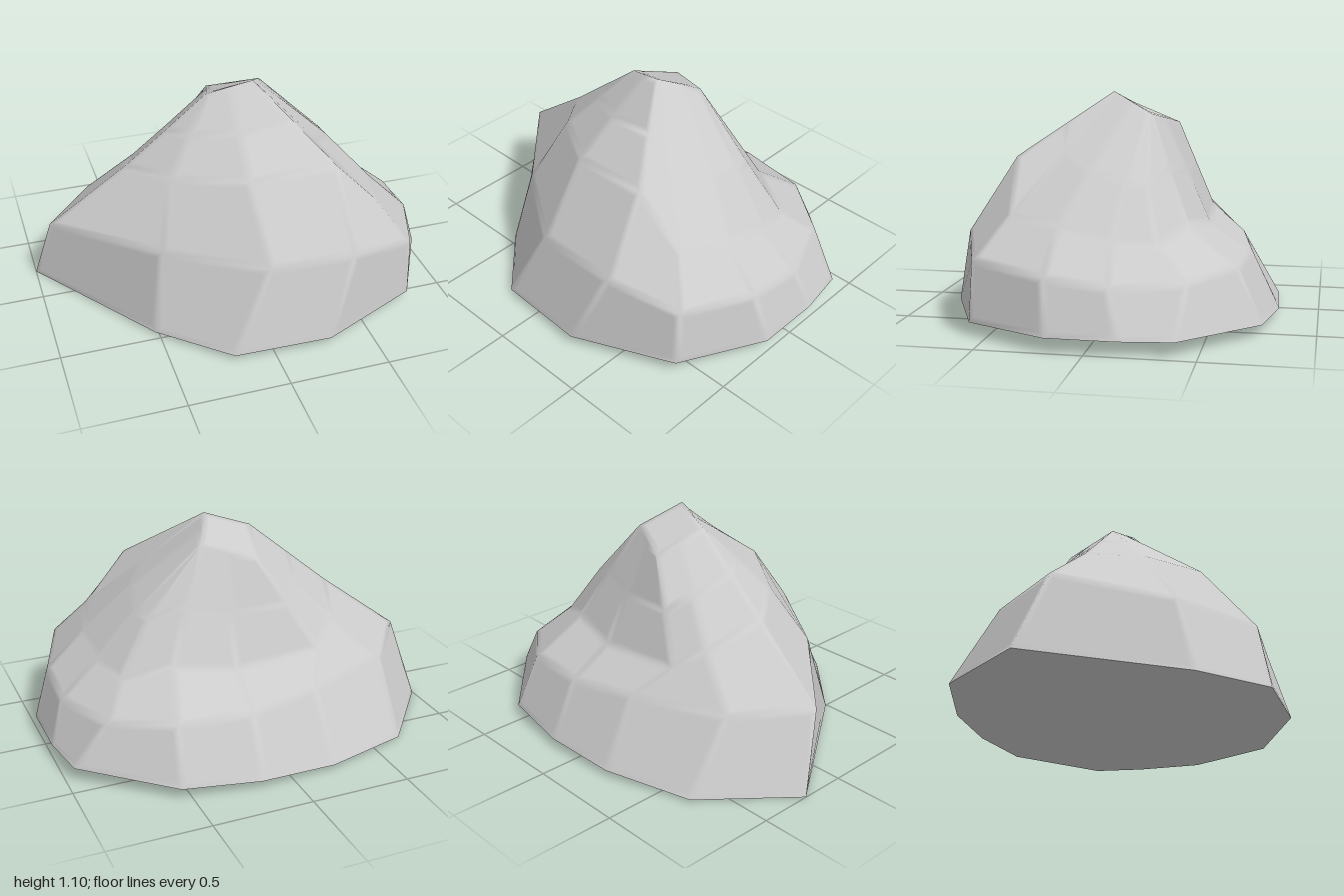
import * as THREE from 'three';

const vec = (p) => new THREE.Vector3(...p);

// Footprint as x, z corners, running left, front, right, back
const FOOTPRINT = [
  [-1, -.23], [-.52, .47], [-.2, .77], [.28, .8], [.78, .59], [1, .18],
  [1, -.15], [.96, -.4], [.55, -.75], [.17, -.81], [-.22, -.79], [-.66, -.65],
];
// Lower shoulder and waist, one point above each footprint corner
const SHOULDER = [
  [-.92, .38, -.09], [-.45, .42, .38], [0, .44, .69], [.43, .43, .69],
  [.78, .36, .57], [.92, .32, .2], [.93, .29, -.1], [.8, .29, -.43],
  [.52, .32, -.63], [.16, .33, -.67], [-.2, .36, -.6], [-.66, .36, -.42],
].map(vec);
const WAIST = [
  [-.52, .68, -.05], [-.35, .72, .2], [-.02, .77, .42], [.41, .8, .45],
  [.64, .55, .42], [.72, .52, .17], [.73, .46, -.08], [.68, .43, -.28],
  [.45, .5, -.39], [.15, .46, -.46], [-.3, .48, -.43], [-.42, .58, -.32],
].map(vec);
const SUMMIT = [[-.1, 1.03, -.03], [.12, 1.1, .03], [.22, 1, -.17], [-.03, .94, -.28]].map(vec);
// Where each rib meets the summit outline, counted in its corners
const SUMMIT_STEPS = [0, 0, .5, 1, 1, 1.5, 2, 2, 2, 2.5, 3, 3.5];

const BEVEL = 0.03;
const key = (p) => p.toArray().join();

// One rib from base to summit: tilted base, and an upper point that bulges on the right flank
function makeRib([x, z], i) {
  const step = SUMMIT_STEPS[i];
  const corner = Math.floor(step);
  const top = SUMMIT[corner].clone().lerp(SUMMIT[(corner + 1) % 4], step - corner);
  const upper = WAIST[i].clone().lerp(top, 0.5);
  if (WAIST[i].x > 0.66) upper.add(new THREE.Vector3(0.06, -0.03, 0.02));
  return [new THREE.Vector3(x, 0.035 * (x + 1), z), SHOULDER[i], WAIST[i], upper, top];
}

const faceNormal = ([a, b, c, d]) =>
  c.clone().sub(a).cross(d.clone().sub(b)).normalize();

// Move a corner of a facet inward along its two edges
function insetCorner(face, i) {
  const p = face[i];
  const out = p.clone();
  for (const q of [face[(i + 1) % 4], face[(i + 3) % 4]]) {
    const length = p.distanceTo(q);
    if (length > 0) out.addScaledVector(q.clone().sub(p), Math.min(0.25, BEVEL / length));
  }
  return out;
}

// Flat facets framed by softly shaded edge strips
function facetGeometry(faces) {
  const positions = [], normals = [];
  const shared = new Map();
  for (const face of faces) {
    const n = faceNormal(face);
    for (const k of new Set(face.map(key))) {
      if (!shared.has(k)) shared.set(k, new THREE.Vector3());
      shared.get(k).add(n);
    }
  }
  shared.forEach((n) => n.normalize());

  const addQuad = (points, norms) => {
    for (const i of [0, 1, 2, 0, 2, 3]) {
      positions.push(...points[i].toArray());
      normals.push(...norms[i].toArray());
    }
  };
  for (const face of faces) {
    const n = faceNormal(face);
    const inner = face.map((p, i) => insetCorner(face, i));
    addQuad(inner, [n, n, n, n]);
    for (let i = 0; i < 4; i++) {
      const j = (i + 1) % 4;
      addQuad([face[i], face[j], inner[j], inner[i]],
        [shared.get(key(face[i])), shared.get(key(face[j])), n, n]);
    }
  }
  const geometry = new THREE.BufferGeometry();
  geometry.setAttribute('position', new THREE.Float32BufferAttribute(positions, 3));
  geometry.setAttribute('normal', new THREE.Float32BufferAttribute(normals, 3));
  return geometry;
}

export function createModel() {
  const group = new THREE.Group();
  group.name = 'rock';
  const material = new THREE.MeshStandardMaterial({ color: 0xcccccc });
  const ribs = FOOTPRINT.map(makeRib);

  // Sloping sides and summit facet
  const faces = [SUMMIT];
  ribs.forEach((a, i) => {
    const b = ribs[(i + 1) % ribs.length];
    for (let row = 0; row < 4; row++) faces.push([a[row], b[row], b[row + 1], a[row + 1]]);
  });
  const body = new THREE.Mesh(facetGeometry(faces), material);
  body.name = 'rockBody';
  group.add(body);

  // Underside, a nearly flat fan
  const centre = new THREE.Vector3(0, 0.035, 0);
  const fan = ribs.flatMap((a, i) => [ribs[(i + 1) % ribs.length][0], a[0], centre]);
  const base = new THREE.BufferGeometry().setFromPoints(fan);
  base.computeVertexNormals();
  const underside = new THREE.Mesh(base, material);
  underside.name = 'rockUnderside';
  group.add(underside);

  return group;
}
